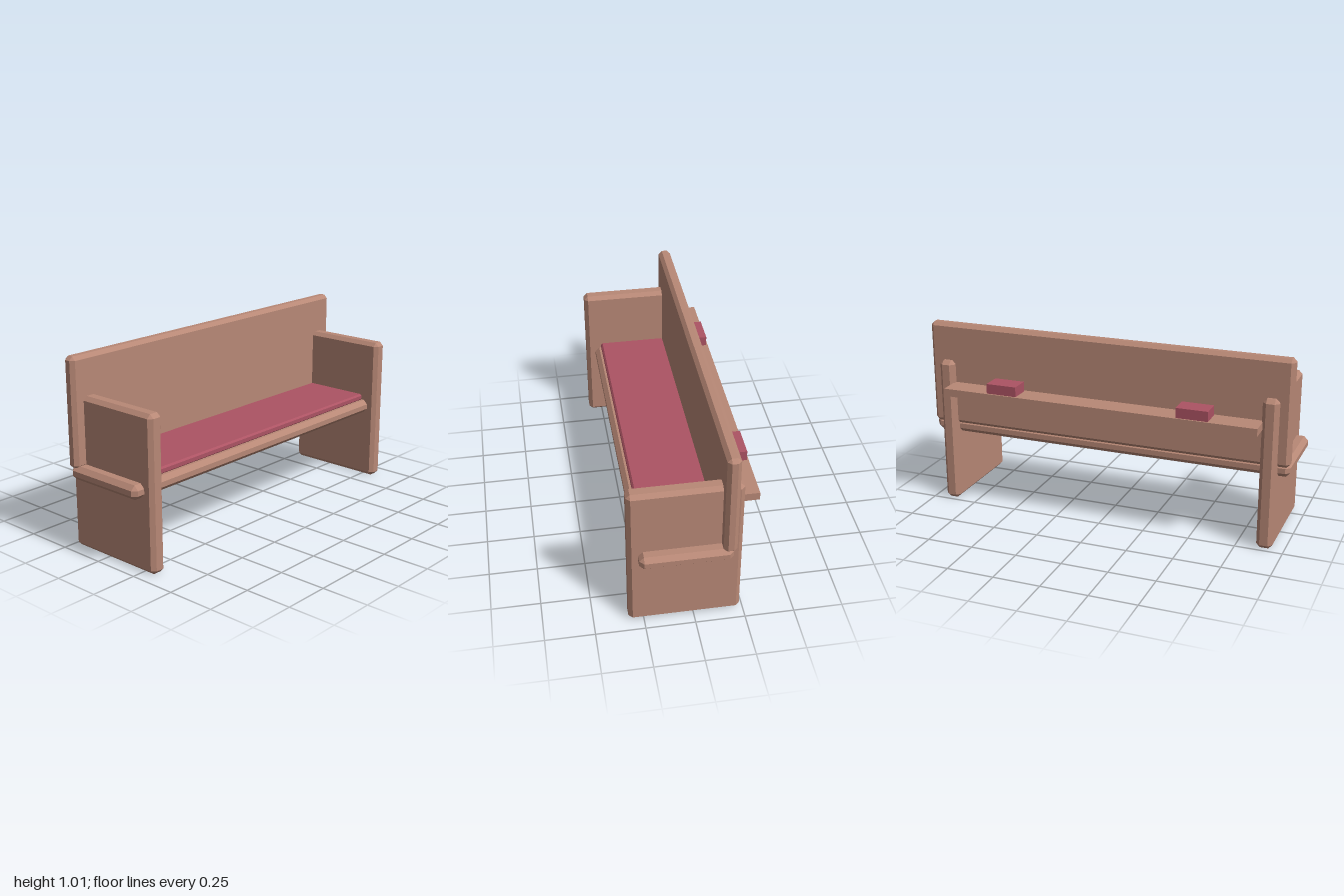
import * as THREE from 'three';
import { ConvexGeometry } from 'three/addons/geometries/ConvexGeometry.js';

const wood = new THREE.MeshStandardMaterial({ name: 'wood', color: 0xb88876 });
const fabric = new THREE.MeshStandardMaterial({ name: 'redFabric', color: 0xac5363 });

// Box with every edge cut at 45 degrees; each corner becomes three points
function chamferBox(w, h, d, c) {
  const points = [];
  for (const sx of [-1, 1]) for (const sy of [-1, 1]) for (const sz of [-1, 1]) {
    const x = w / 2, y = h / 2, z = d / 2;
    points.push(
      new THREE.Vector3(sx * x, sy * (y - c), sz * (z - c)),
      new THREE.Vector3(sx * (x - c), sy * y, sz * (z - c)),
      new THREE.Vector3(sx * (x - c), sy * (y - c), sz * z));
  }
  return new ConvexGeometry(points);
}

// Block given by its extents, with an optional chamfer
function block(name, material, [x0, x1], [y0, y1], [z0, z1], chamfer = 0) {
  const w = x1 - x0, h = y1 - y0, d = z1 - z0;
  const geometry = chamfer ? chamferBox(w, h, d, chamfer) : new THREE.BoxGeometry(w, h, d);
  const mesh = new THREE.Mesh(geometry, material);
  mesh.name = name;
  mesh.position.set((x0 + x1) / 2, (y0 + y1) / 2, (z0 + z1) / 2);
  return mesh;
}

export function createModel() {
  const bench = new THREE.Group();
  bench.name = 'bench';

  // Seat board, backrest and cushion
  bench.add(
    block('seat', wood, [-1, 1], [0.384, 0.457], [-0.183, 0.275], 0.023),
    block('backrest', wood, [-1, 1], [0.44, 1.006], [-0.197, -0.13], 0.019),
    block('cushion', fabric, [-0.853, 0.853], [0.453, 0.491], [-0.13, 0.241], 0.009));

  // Shelf behind the backrest
  bench.add(block('bookShelf', wood, [-0.86, 0.86], [0.639, 0.68], [-0.325, -0.19]));

  // Side panels and books, mirrored
  for (const s of [-1, 1]) {
    const side = s < 0 ? 'right' : 'left';
    const span = (a, b) => (s < 0 ? [-b, -a] : [a, b]);
    bench.add(
      block(side + 'SidePanel', wood, span(0.855, 0.938), [0, 0.802], [-0.235, 0.326], 0.02),
      block(side + 'Book', fabric, span(0.44, 0.608), [0.68, 0.733], [-0.316, -0.21]));
  }
  return bench;
}
